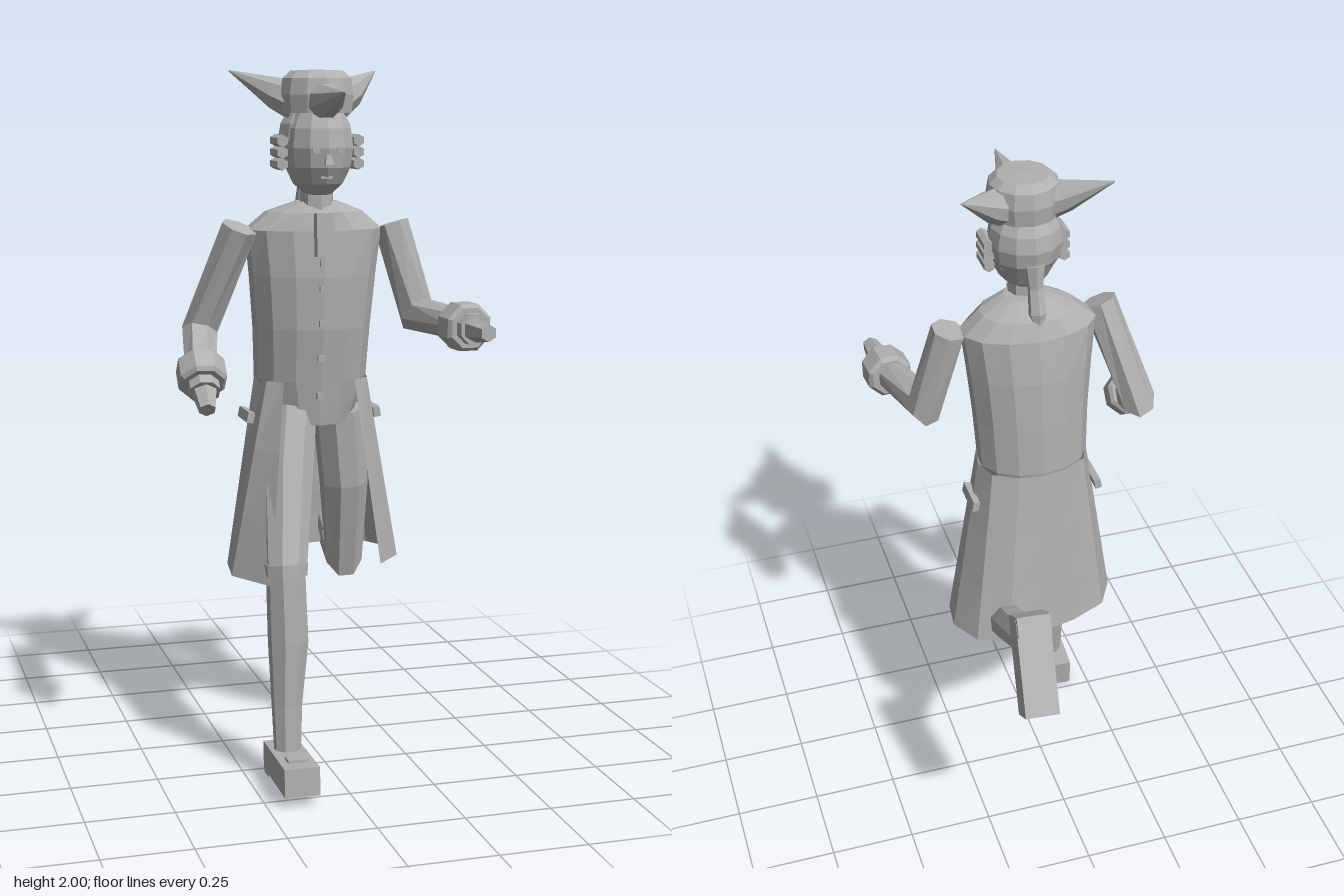
import * as THREE from 'three';

const stone = new THREE.MeshStandardMaterial({ color: 0xb0b0b0, flatShading: true, side: THREE.DoubleSide });
stone.name = 'plain grey';

const V = (x, y, z) => new THREE.Vector3(x, y, z);

// Skins a stack of cross-sections, listed bottom to top.
function loft(rings, closed = true) {
  const n = rings[0].length, pos = [], index = [];
  rings.forEach(r => r.forEach(p => pos.push(p.x, p.y, p.z)));
  for (let i = 0; i < rings.length - 1; i++) {
    for (let j = 0; j < (closed ? n : n - 1); j++) {
      const a = i * n + j, b = i * n + (j + 1) % n;
      index.push(a, a + n, b, b, a + n, b + n);
    }
  }
  if (closed) {
    [0, rings.length - 1].forEach((k, end) => {
      const c = rings[k].reduce((s, p) => s.add(p), V(0, 0, 0)).divideScalar(n);
      const ci = pos.length / 3;
      pos.push(c.x, c.y, c.z);
      for (let j = 0; j < n; j++) {
        const a = k * n + j, b = k * n + (j + 1) % n;
        end ? index.push(a, ci, b) : index.push(a, b, ci);
      }
    });
  }
  const g = new THREE.BufferGeometry();
  g.setAttribute('position', new THREE.Float32BufferAttribute(pos, 3));
  g.setIndex(index);
  g.computeVertexNormals();
  return g;
}

// Mitred limb along a path; every point is [x, y, z, radius].
function limb(path, sides = 8, ref = V(1, 0, 0)) {
  const pts = path.map(p => V(p[0], p[1], p[2]));
  const rings = pts.map((p, i) => {
    const d0 = pts[Math.max(i, 1)].clone().sub(pts[Math.max(i, 1) - 1]).normalize();
    const k = Math.min(i, pts.length - 2);
    const d1 = pts[k + 1].clone().sub(pts[k]).normalize();
    const t = d0.clone().add(d1).normalize();
    const stretch = Math.min(1.4, 1 / Math.max(0.1, t.dot(d0)));
    const u = ref.clone().addScaledVector(t, -ref.dot(t)).normalize();
    const v = u.clone().cross(t).multiplyScalar(stretch);
    return Array.from({ length: sides }, (_, j) => {
      const a = (j + 0.5) / sides * Math.PI * 2, r = path[i][3];
      return p.clone().addScaledVector(u, Math.cos(a) * r).addScaledVector(v, Math.sin(a) * r);
    });
  });
  return loft(rings);
}

export function createModel() {
  const model = new THREE.Group();
  model.name = 'runningFigure';
  const add = (name, geometry, x = 0, y = 0, z = 0, parent = model) => {
    const m = new THREE.Mesh(geometry, stone);
    m.name = name;
    m.position.set(x, y, z);
    parent.add(m);
    return m;
  };
  const box = (w, h, d) => new THREE.BoxGeometry(w, h, d);

  // Coat body: [y, half width, back z, front z]
  const body = [[0.99, 0.12, 0.0, 0.2], [1.12, 0.165, -0.02, 0.22], [1.27, 0.172, -0.015, 0.245],
    [1.42, 0.185, -0.005, 0.255], [1.55, 0.2, 0.015, 0.25], [1.6, 0.14, 0.035, 0.24], [1.63, 0.06, 0.11, 0.22]];
  add('coatBody', loft(body.map(([y, w, b, f]) => Array.from({ length: 14 }, (_, j) => {
    const a = (j + 0.5) / 14 * Math.PI * 2;
    return V(-0.005 + Math.cos(a) * w, y, (b + f) / 2 + Math.sin(a) * (f - b) / 2);
  }))));

  // Coat skirt, open at the front: waist and hem outlines as [x, z]
  const waist = [[-0.11, 0.2], [-0.15, 0.16], [-0.17, 0.09], [-0.14, 0.02], [-0.07, -0.02], [0, -0.03],
    [0.07, -0.02], [0.14, 0.02], [0.165, 0.09], [0.15, 0.16], [0.1, 0.2]];
  const hem = [[-0.19, 0.36], [-0.27, 0.22], [-0.25, 0.08], [-0.2, -0.01], [-0.09, -0.06], [0.03, -0.085],
    [0.13, -0.1], [0.22, -0.06], [0.27, 0.03], [0.26, 0.12], [0.18, 0.21]];
  add('coatSkirt', loft([1, 0.7, 0.35, 0].map(t => waist.map(([x, z], i) =>
    V(x + (hem[i][0] - x) * t, 1.12 - 0.55 * t, z + (hem[i][1] - z) * t))), false));
  for (const s of [-1, 1]) {
    const flap = add('pocketFlap', box(0.02, 0.03, 0.11), s * 0.19, 1.01, 0.08);
    flap.rotation.z = s * 0.2;
  }
  for (const [y, z] of [[1.46, 0.255], [1.39, 0.255], [1.29, 0.25], [1.19, 0.235], [1.08, 0.222]])
    add('button', box(0.018, 0.018, 0.012), -0.01, y, z);
  const cravat = add('cravat', box(0.05, 0.12, 0.03), -0.01, 1.54, 0.265);
  cravat.rotation.x = -0.08;

  // Neck, head and face
  add('neck', new THREE.CylinderGeometry(0.047, 0.05, 0.12, 8), -0.01, 1.64, 0.185);
  const head = add('head', new THREE.SphereGeometry(1, 12, 8), -0.01, 1.78, 0.195);
  head.scale.set(0.1, 0.14, 0.118);
  const hair = add('hair', new THREE.SphereGeometry(1, 12, 8), -0.01, 1.8, 0.17);
  hair.scale.set(0.108, 0.12, 0.108);
  add('nose', limb([[-0.01, 1.735, 0.305, 0.018], [-0.01, 1.77, 0.303, 0.006]], 4));
  add('mouth', box(0.035, 0.008, 0.008), -0.01, 1.7, 0.285);
  for (const s of [-1, 1]) {
    add('eye', box(0.022, 0.016, 0.008), -0.01 + s * 0.035, 1.775, 0.303);
    for (let i = 0; i < 3; i++) {
      const curl = add('sideCurl', new THREE.CylinderGeometry(0.017, 0.017, 0.08, 6), -0.01 + s * 0.11, 1.735 + i * 0.032, 0.19);
      curl.rotation.x = Math.PI / 2;
    }
  }
  add('ponytail', limb([[-0.01, 1.76, 0.085, 0.03], [-0.01, 1.69, 0.075, 0.022], [-0.01, 1.62, 0.055, 0.026], [-0.01, 1.55, 0.04, 0.006]], 6));

  // Three-pointed hat
  add('hatCrown', new THREE.LatheGeometry([[0, 0], [0.1, 0], [0.106, 0.05], [0.098, 0.095], [0.075, 0.115], [0, 0.118]]
    .map(p => new THREE.Vector2(...p)), 12), -0.01, 1.875, 0.185);
  add('hatFrontPoint', limb([[-0.01, 1.905, 0.22, 0.065], [-0.01, 1.91, 0.3, 0.045], [-0.01, 1.932, 0.458, 0.002]], 8));
  for (const s of [-1, 1])
    add('hatSidePoint', limb([[-0.01 + s * 0.05, 1.905, 0.17, 0.06], [-0.01 + s * 0.11, 1.93, 0.135, 0.045],
      [-0.015 + s * 0.215, 1.99, 0.06, 0.002]], 8, V(0, 0, 1)));

  // Arms with turned-back cuffs and tapered hands
  const arm = (side, shoulder, elbow, wrist, tip) => {
    const w = V(...wrist), dir = V(...tip).sub(w).normalize();
    const at = (d, r) => [...w.clone().addScaledVector(dir, d).toArray(), r];
    add(side + 'Sleeve', limb([[...shoulder, 0.052], [...elbow, 0.052], [...wrist, 0.045]], 7));
    add(side + 'Cuff', limb([at(-0.04, 0.058), at(-0.03, 0.07), at(0.035, 0.07), at(0.045, 0.06)], 8));
    add(side + 'Wrist', limb([at(0.03, 0.045), at(0.075, 0.045)], 8));
    add(side + 'Hand', limb([at(0.06, 0.038), [...tip, 0.024]], 6));
  };
  arm('right', [-0.23, 1.56, 0.17], [-0.325, 1.26, 0.075], [-0.36, 1.165, 0.25], [-0.368, 1.08, 0.36]);
  arm('left', [0.225, 1.56, 0.14], [0.295, 1.3, 0.175], [0.355, 1.29, 0.4], [0.368, 1.29, 0.56]);

  // Legs: breeches, knee band, stocking
  add('rightBreeches', limb([[-0.07, 1.02, 0.13, 0.075], [-0.1, 0.87, 0.2, 0.075], [-0.14, 0.6, 0.33, 0.06]]));
  add('rightKneeBand', limb([[-0.14, 0.625, 0.325, 0.064], [-0.14, 0.59, 0.33, 0.062]]));
  add('rightStocking', limb([[-0.14, 0.62, 0.325, 0.056], [-0.135, 0.4, 0.335, 0.058], [-0.143, 0.22, 0.35, 0.044], [-0.145, 0.07, 0.365, 0.038]]));
  add('leftBreeches', limb([[0.08, 1.02, 0.1, 0.075], [0.105, 0.8, 0.08, 0.072], [0.118, 0.57, 0.035, 0.058], [0.122, 0.6, -0.03, 0.058]]));
  add('leftStocking', limb([[0.12, 0.575, 0.03, 0.055], [0.13, 0.67, -0.14, 0.056], [0.148, 0.8, -0.38, 0.042]]));

  // Block shoes with buckle and heel
  const shoe = (name, x, y, z, pitch, yaw) => {
    const g = new THREE.Group();
    g.name = name;
    g.position.set(x, y, z);
    g.rotation.set(pitch, yaw, 0);
    add('shoeBody', box(0.1, 0.08, 0.29), 0, 0, 0, g);
    add('buckle', box(0.056, 0.014, 0.045), 0, 0.042, 0.07, g);
    add('heel', box(0.098, 0.018, 0.06), 0, -0.042, -0.115, g);
    model.add(g);
  };
  shoe('rightShoe', -0.148, 0.054, 0.415, -0.07, -0.05);
  shoe('leftShoe', 0.16, 0.79, -0.45, 2.13, 0.06);
  return model;
}
